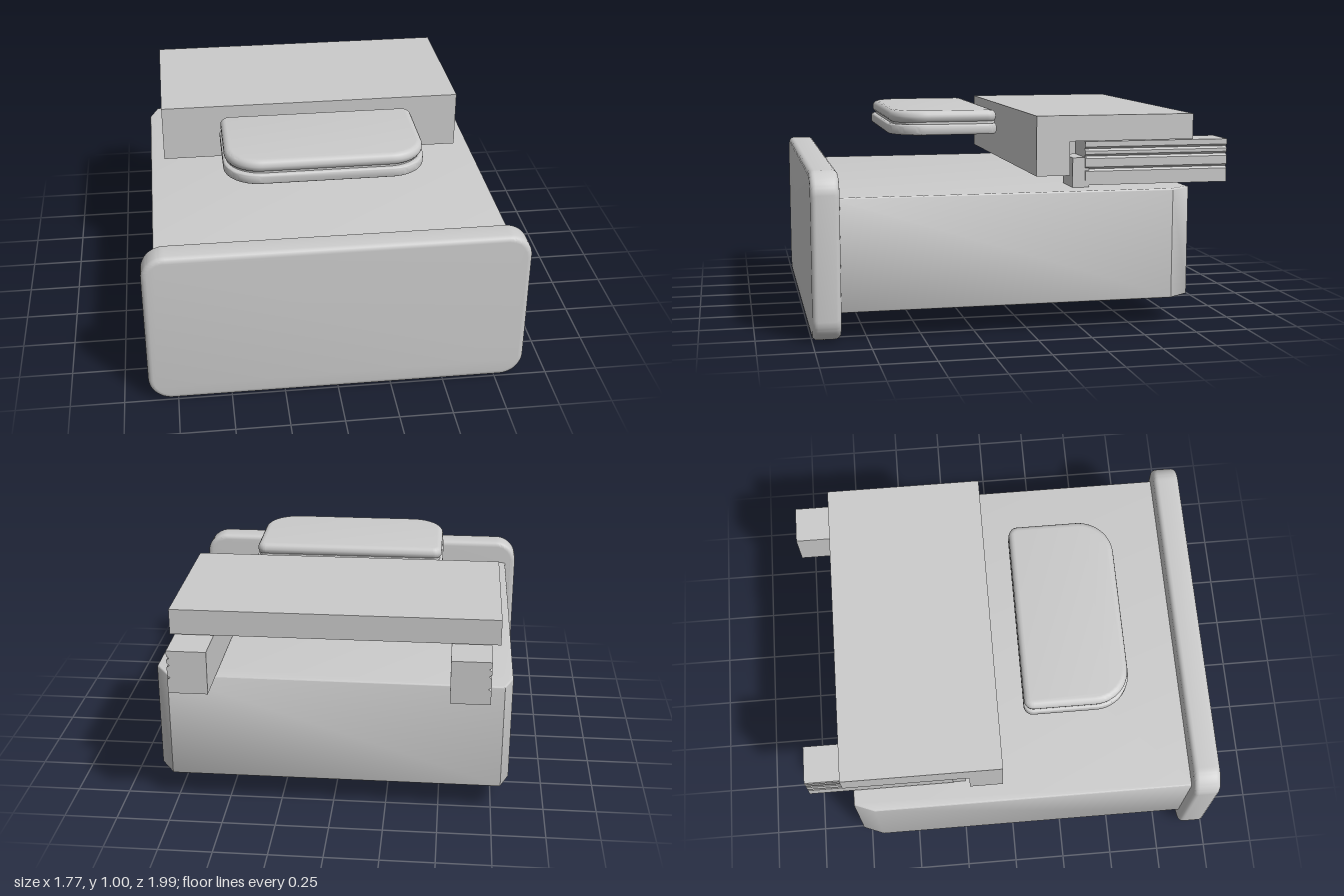
import * as THREE from 'three';
import { toCreasedNormals } from 'three/addons/utils/BufferGeometryUtils.js';

const grey = new THREE.MeshStandardMaterial({ color: 0xcccccc });

// Rectangle with one radius per corner: bottom-left, bottom-right, top-right, top-left
function roundedRect(x0, x1, y0, y1, [bl, br, tr, tl]) {
  const s = new THREE.Shape();
  s.absarc(x0 + bl, y0 + bl, bl, Math.PI, 1.5 * Math.PI);
  s.absarc(x1 - br, y0 + br, br, 1.5 * Math.PI, 2 * Math.PI);
  s.absarc(x1 - tr, y1 - tr, tr, 0, 0.5 * Math.PI);
  s.absarc(x0 + tl, y1 - tl, tl, 0.5 * Math.PI, Math.PI);
  s.closePath();
  return s;
}

const polygon = (points) => new THREE.Shape(points.map(([x, y]) => new THREE.Vector2(x, y)));

// Extrusion from 0 to depth along z whose bevel stays inside the outline
function extrude(shape, depth, bevel = 0) {
  const geo = new THREE.ExtrudeGeometry(shape, {
    depth: depth - 2 * bevel, curveSegments: 10, bevelEnabled: bevel > 0,
    bevelThickness: bevel, bevelSize: bevel, bevelOffset: -bevel, bevelSegments: 4,
  });
  return geo.translate(0, 0, bevel);
}

// Lay an outline drawn as (x, -z) flat, from height y0 to y1
const slab = (shape, y0, y1, bevel) =>
  extrude(shape, y1 - y0, bevel).rotateX(-Math.PI / 2).translate(0, y0, 0);

export function createModel() {
  const model = new THREE.Group();
  const add = (name, geo, parent = model) => {
    const mesh = new THREE.Mesh(toCreasedNormals(geo, 0.6), grey);
    mesh.name = name;
    parent.add(mesh);
    return mesh;
  };

  // Main box with chamfered back corners
  add('body', slab(polygon([
    [-0.83, -0.9], [0.84, -0.9], [0.84, 0.68], [0.77, 0.78], [-0.79, 0.78], [-0.83, 0.68],
  ]), 0.13, 0.65, 0.008));

  // Shallow raised panel under the box
  add('bottomPanel', slab(roundedRect(-0.56, 0.56, -0.62, 0.5, [0.15, 0.15, 0.15, 0.15]), 0.105, 0.16, 0.02));

  // Broad rounded front plate
  add('frontPlate', extrude(roundedRect(-0.885, 0.885, 0, 0.77, [0.11, 0.11, 0.11, 0.11]), 0.13, 0.025)
    .translate(0, 0, 0.87));

  // Floating pad: wider lower lip, groove, domed upper layer
  const pad = new THREE.Group();
  pad.name = 'pad';
  model.add(pad);
  const padLayer = (name, inset, y0, y1, bevel) => add(name, slab(
    roundedRect(-0.48 + inset, 0.475 - inset, -0.59 + inset * 1.4, -0.075 - inset * 0.3, [0.17, 0.17, 0.045, 0.045]),
    y0, y1, bevel), pad);
  padLayer('padLip', 0, 0.885, 0.935, 0.012);
  padLayer('padGroove', 0.015, 0.92, 0.95, 0.004);
  padLayer('padTop', 0.005, 0.94, 1.0, 0.028);

  // Raised shelf with a front wall, an L profile drawn as (-z, y)
  add('shelf', extrude(polygon([
    [0.05, 0.71], [0.21, 0.71], [0.21, 0.87], [0.81, 0.87], [0.81, 0.99], [0.05, 0.99],
  ]), 1.5).rotateY(Math.PI / 2).translate(-0.76, 0, 0));

  // Grooved rails under the shelf, mirrored left and right
  for (const side of [1, -1]) {
    const rail = new THREE.Group();
    rail.name = side > 0 ? 'leftRail' : 'rightRail';
    model.add(rail);
    const profile = [[0.54, 0.66], [0.72, 0.66]];
    for (const y of [0.735, 0.795, 0.83]) {
      profile.push([0.72, y - 0.01], [0.707, y], [0.72, y + 0.01]);
    }
    profile.push([0.72, 0.865], [0.54, 0.865]);
    const mirrored = profile.map(([x, y]) => [side * x, y]);
    add('railBar', extrude(polygon(mirrored), 0.7).translate(0, 0, -0.99), rail);
    // Lower stepped nose at the front of the rail
    add('railNose', new THREE.BoxGeometry(0.17, 0.14, 0.08).translate(side * 0.63, 0.72, -0.27), rail);
  }

  return model;
}
